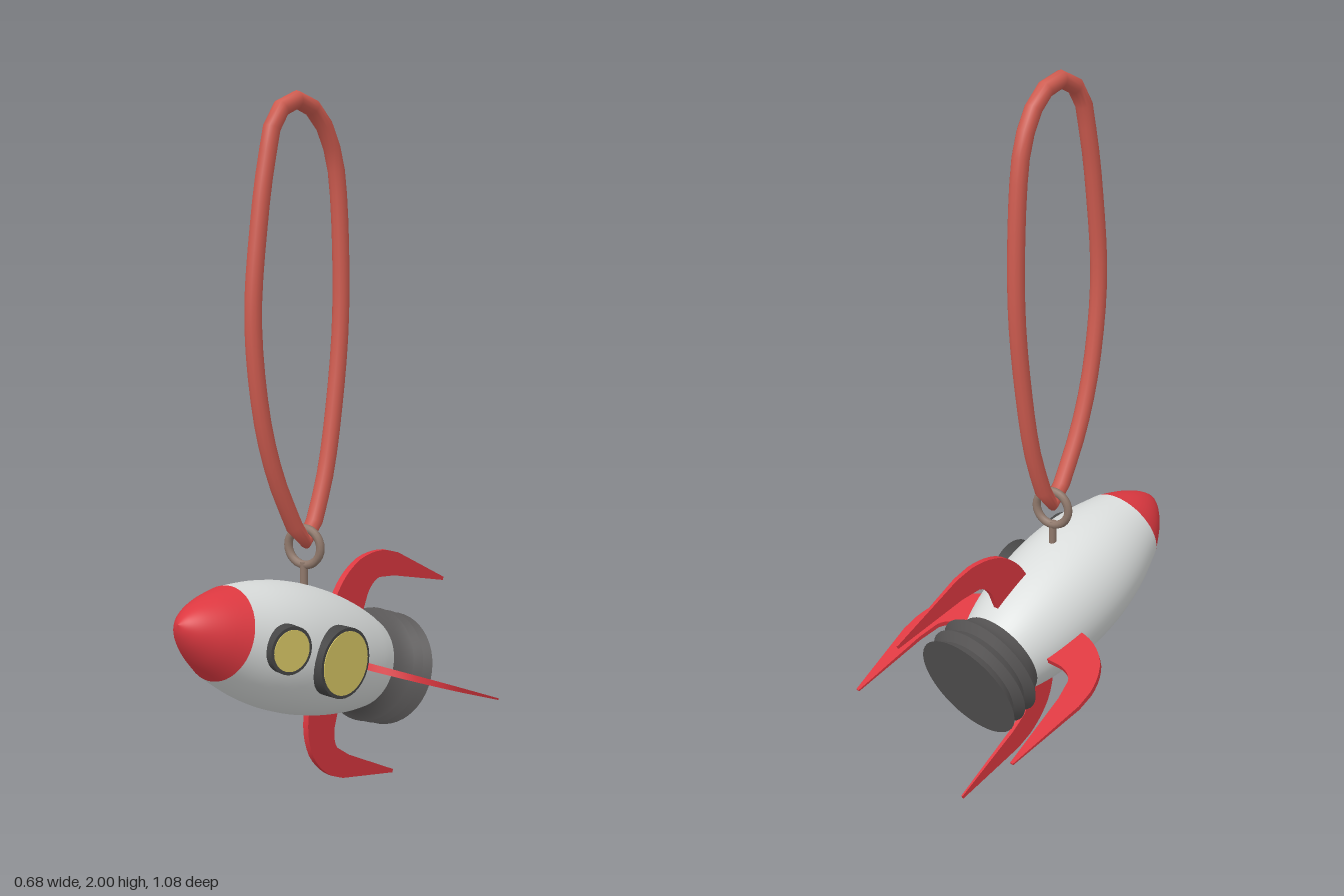
import * as THREE from 'three';
import { toCreasedNormals } from 'three/addons/utils/BufferGeometryUtils.js';

const V2 = (p) => p.map(([x, y]) => new THREE.Vector2(x, y));

function material(name, color) {
  const m = new THREE.MeshStandardMaterial({ color });
  m.name = name;
  return m;
}

function part(parent, name, geometry, mat) {
  const mesh = new THREE.Mesh(geometry, mat);
  mesh.name = name;
  parent.add(mesh);
  return mesh;
}

// Swept-back fin: x is the distance from the axis, y runs along the axis.
function finGeometry() {
  const shape = new THREE.Shape();
  shape.moveTo(0.13, 0.32);
  shape.lineTo(0.18, 0.31);
  shape.quadraticCurveTo(0.245, 0.295, 0.29, 0.245);
  shape.quadraticCurveTo(0.325, 0.2, 0.336, 0.141);
  shape.lineTo(0.339, 0.086);
  shape.lineTo(0.307, -0.157);
  shape.lineTo(0.297, -0.157);
  shape.lineTo(0.27, 0.081);
  shape.lineTo(0.254, 0.145);
  shape.quadraticCurveTo(0.24, 0.17, 0.2, 0.18);
  shape.lineTo(0.13, 0.184);
  const g = new THREE.ExtrudeGeometry(shape, { depth: 1, bevelEnabled: false, curveSegments: 5 });
  g.translate(0, 0, -0.5);
  // Thin and bend the fin a little toward its tip.
  const p = g.attributes.position;
  for (let i = 0; i < p.count; i++) {
    const t = (0.32 - p.getY(i)) / 0.477;
    p.setZ(i, p.getZ(i) * (0.02 - 0.015 * t) + 0.012 * t);
  }
  g.computeVertexNormals();
  return toCreasedNormals(g, 0.6);
}

export function createModel() {
  const white = material('hull white', 0xd9dcdb);
  const red = material('fin red', 0xdc3840);
  const dark = material('engine grey', 0x585656);
  const black = material('frame grey', 0x464646);
  const yellow = material('window yellow', 0xd8c765);
  const coral = material('strap coral', 0xcf5c50);
  const metal = material('hook metal', 0x8f786b);

  const model = new THREE.Group();
  model.name = 'rocketOrnament';

  // Rocket, built along local y and tipped so the nose points forward and up
  const rocket = new THREE.Group();
  rocket.name = 'rocket';
  rocket.position.set(0, 0.344, -0.291);
  rocket.rotation.x = THREE.MathUtils.degToRad(70);
  model.add(rocket);

  const hull = new THREE.SplineCurve(V2([
    [0.133, 0.14], [0.154, 0.21], [0.172, 0.31], [0.18, 0.42],
    [0.175, 0.53], [0.157, 0.63], [0.127, 0.732],
  ])).getPoints(24);
  part(rocket, 'hull', new THREE.LatheGeometry(hull, 48), white);

  const nose = new THREE.SplineCurve(V2([
    [0.127, 0.732], [0.095, 0.792], [0.06, 0.841], [0.027, 0.872], [0, 0.885],
  ])).getPoints(16);
  nose[nose.length - 1].x = 0;
  part(rocket, 'noseCone', new THREE.LatheGeometry(nose, 48), red);

  // Three flared engine rings
  const rings = [[0, 0]];
  for (let i = 0; i < 3; i++) rings.push([0.167, i * 0.047], [0.142, i * 0.047 + 0.027]);
  rings.push([0.128, 0.16]);
  part(rocket, 'engine', toCreasedNormals(new THREE.LatheGeometry(V2(rings), 48), 0.5), dark);

  const fin = finGeometry();
  ['leftFin', 'topFin', 'rightFin', 'bottomFin'].forEach((name, i) => {
    part(rocket, name, fin, red).rotation.y = i * Math.PI / 2;
  });

  // Round windows on the left side: outer face centre, radius, forward tilt
  const windows = [
    ['largeWindow', 0.198, 0.49, 0.118, 0.097, 0],
    ['smallWindow', 0.173, 0.56, 0.302, 0.065, 0.19],
  ];
  for (const [name, x, y, z, r, tilt] of windows) {
    const w = new THREE.Group();
    w.name = name;
    w.position.set(x, y, z);
    w.rotation.y = Math.PI / 2 - tilt;
    model.add(w);
    const frame = part(w, 'windowFrame', new THREE.CylinderGeometry(r, r, 0.055, 32), black);
    frame.rotation.x = Math.PI / 2;
    frame.position.z = -0.0275;
    const pane = part(w, 'windowPane', new THREE.CylinderGeometry(r - 0.009, r - 0.009, 0.004, 32), yellow);
    pane.rotation.x = Math.PI / 2;
  }

  // Hook: pin and ring
  const pin = part(model, 'hookPin', new THREE.CylinderGeometry(0.011, 0.011, 0.1, 12), metal);
  pin.position.set(0, 0.68, 0.07);
  const ring = part(model, 'hookRing', new THREE.TorusGeometry(0.052, 0.012, 10, 28), metal);
  ring.position.set(0, 0.773, 0.068);
  ring.rotation.y = 0.19;

  // Hanging strap loop, as [z, y]
  const loop = [
    [0.065, 0.79], [-0.005, 0.926], [-0.058, 1.18], [-0.082, 1.44], [-0.063, 1.79],
    [-0.037, 1.87], [0.012, 1.942], [0.09, 1.976], [0.17, 1.935], [0.21, 1.81],
    [0.238, 1.656], [0.262, 1.42], [0.243, 1.206], [0.206, 1.05], [0.145, 0.905],
  ].map(([z, y]) => new THREE.Vector3(0, y, z));
  const path = new THREE.CatmullRomCurve3(loop, true, 'centripetal');
  part(model, 'strap', new THREE.TubeGeometry(path, 40, 0.024, 12, true), coral);

  return model;
}
